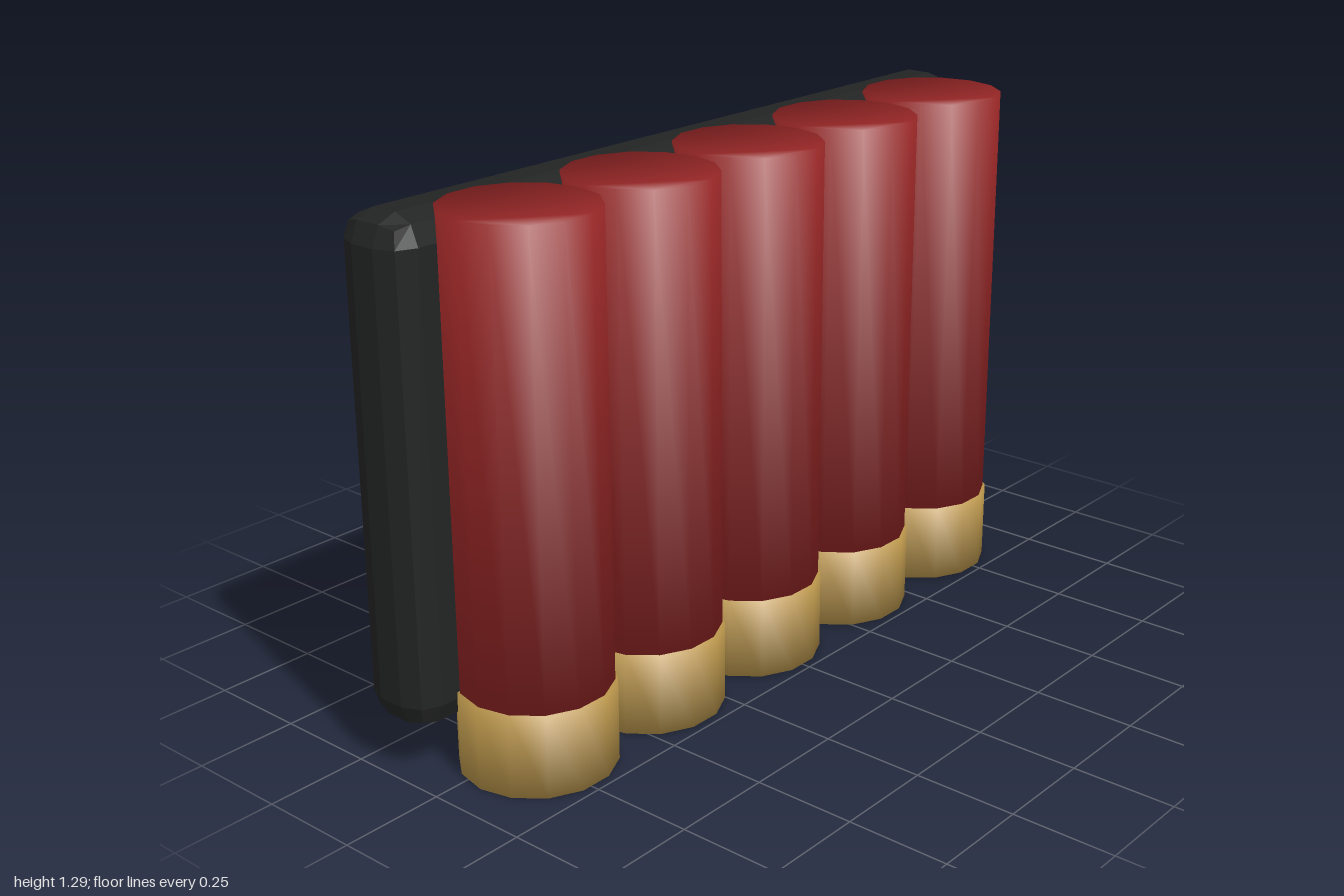
import * as THREE from 'three';
import { RoundedBoxGeometry } from 'three/addons/geometries/RoundedBoxGeometry.js';

const SIDES = 14;

// Low-poly upright tube whose normals blend softly over the rims
function softCylinder(radius, y0, y1) {
  const outline = [];
  for (let i = 0; i < SIDES; i++) {
    const a = (i / SIDES) * Math.PI * 2;
    outline.push(new THREE.Vector2(Math.sin(a) * radius, Math.cos(a) * radius));
  }
  const geo = new THREE.ExtrudeGeometry(new THREE.Shape(outline), {
    depth: y1 - y0, bevelEnabled: false,
  });
  geo.rotateX(-Math.PI / 2).translate(0, y0, 0);
  const pos = geo.attributes.position;
  const n = new THREE.Vector3();
  const middle = (y0 + y1) / 2;
  for (let i = 0; i < pos.count; i++) {
    n.set(pos.getX(i) / radius, pos.getY(i) > middle ? 0.85 : -0.85, pos.getZ(i) / radius).normalize();
    geo.attributes.normal.setXYZ(i, n.x, n.y, n.z);
  }
  return geo;
}

export function createModel() {
  const group = new THREE.Group();
  group.name = 'shellHolder';

  const black = new THREE.MeshStandardMaterial({ color: 0x222323 });
  black.name = 'black';
  const red = new THREE.MeshStandardMaterial({ color: 0x942525 });
  red.name = 'red';
  const brass = new THREE.MeshStandardMaterial({ color: 0xb8944a });
  brass.name = 'brass';

  // Backing plate with faceted rounded edges
  const plateGeo = new RoundedBoxGeometry(0.195, 1.165, 2, 1, 0.065);
  plateGeo.computeVertexNormals();
  const plate = new THREE.Mesh(plateGeo, black);
  plate.name = 'backingPlate';
  plate.position.set(-0.1325, 0.7025, 0);
  group.add(plate);

  // Row of five shells, each a red hull on a brass base
  const hullGeo = softCylinder(0.176, 0.2, 1.287);
  const baseGeo = softCylinder(0.182, 0, 0.2);
  for (let i = -2; i <= 2; i++) {
    const shell = new THREE.Group();
    shell.name = 'shell' + (i + 3);
    const hull = new THREE.Mesh(hullGeo, red);
    hull.name = 'shellHull';
    const base = new THREE.Mesh(baseGeo, brass);
    base.name = 'shellBase';
    shell.add(hull, base);
    shell.position.set(0.05, 0, i * 0.367);
    group.add(shell);
  }
  return group;
}
